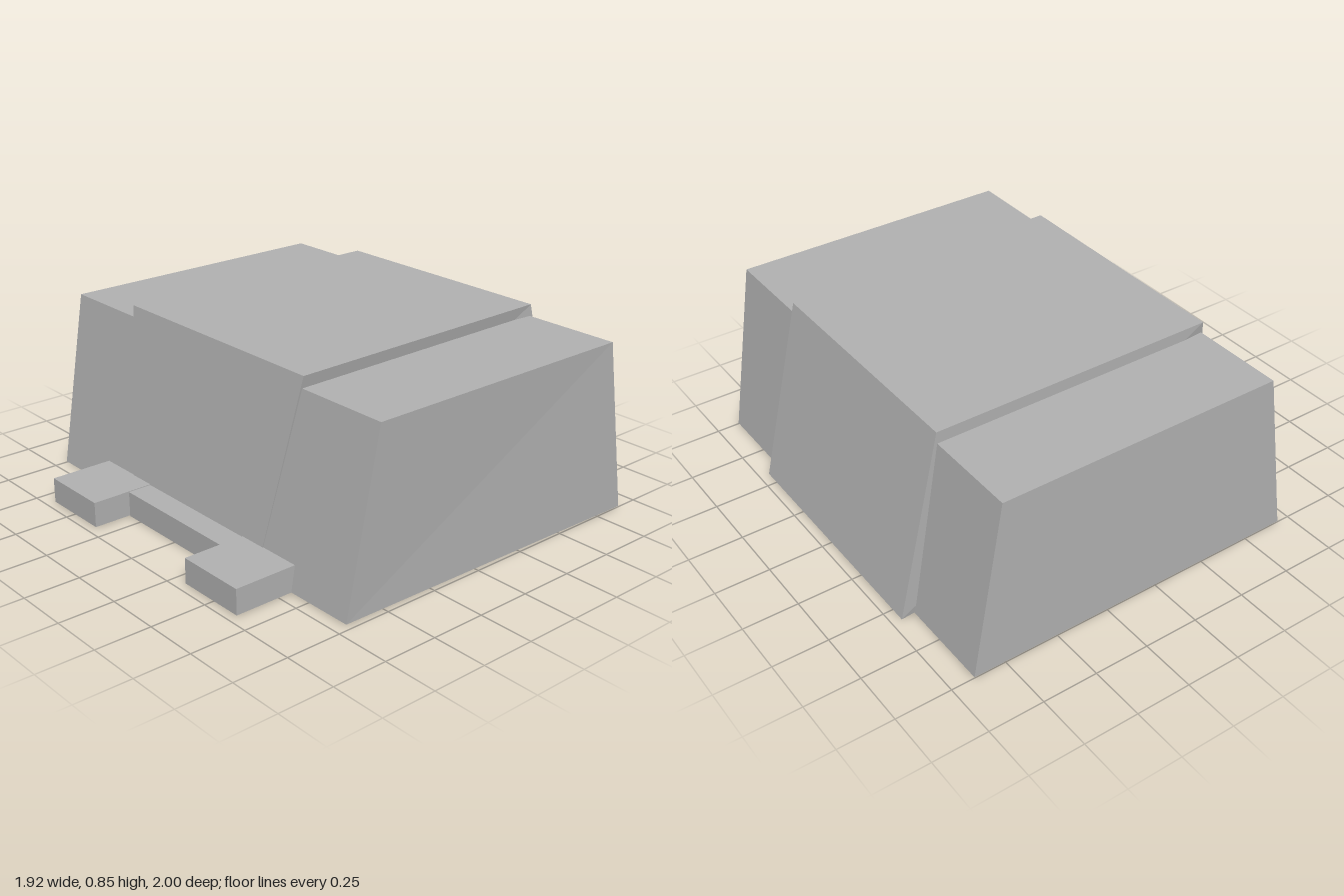
import * as THREE from 'three';

const grey = new THREE.MeshStandardMaterial({ color: 0xb2b2b2 });
grey.name = 'grey';

// Box whose corners are placed by a rule: corner(right, top, front) -> [x, y, z]
function tapered(name, corner) {
  const box = new THREE.BoxGeometry(1, 1, 1);
  const p = box.attributes.position;
  for (let i = 0; i < p.count; i++) {
    p.setXYZ(i, ...corner(p.getX(i) > 0, p.getY(i) > 0, p.getZ(i) > 0));
  }
  const geo = box.toNonIndexed();
  geo.computeVertexNormals();
  const mesh = new THREE.Mesh(geo, grey);
  mesh.name = name;
  return mesh;
}

// Straight box given by its limits
function block(name, x0, x1, y0, y1, z0, z1) {
  const mesh = new THREE.Mesh(new THREE.BoxGeometry(x1 - x0, y1 - y0, z1 - z0), grey);
  mesh.position.set((x0 + x1) / 2, (y0 + y1) / 2, (z0 + z1) / 2);
  mesh.name = name;
  return mesh;
}

export function createModel() {
  const model = new THREE.Group();
  model.name = 'model';

  // Long body with sloping sides
  model.add(tapered('body', (right, top, front) => [
    right ? (top ? 0.76 : 0.895) : (top ? -0.555 : -0.69),
    top ? 0.8 : 0.004,
    front ? (!right && !top ? 0.972 : 1) : -1,
  ]));

  // Taller middle section, flaring on one side and sinking into the body on the other
  model.add(tapered('middleSection', (right, top, front) => {
    const x = right ? (top ? 0.762 : 0.957) : (top ? -0.555 : -0.692);
    let z = front ? 0.57 : -0.573;
    if (!right && !top) z = front ? 0.435 : -0.44;
    if (right && top && front) z = 0.547;
    return [x, top ? 0.853 : 0.004, z];
  }));

  // Two feet joined by a narrow bridge
  model.add(block('frontFoot', -0.96, -0.6, 0.004, 0.118, 0.322, 0.65));
  model.add(block('backFoot', -0.96, -0.6, 0.004, 0.118, -0.657, -0.328));
  model.add(block('footBridge', -0.785, -0.535, 0, 0.115, -0.328, 0.322));

  return model;
}
